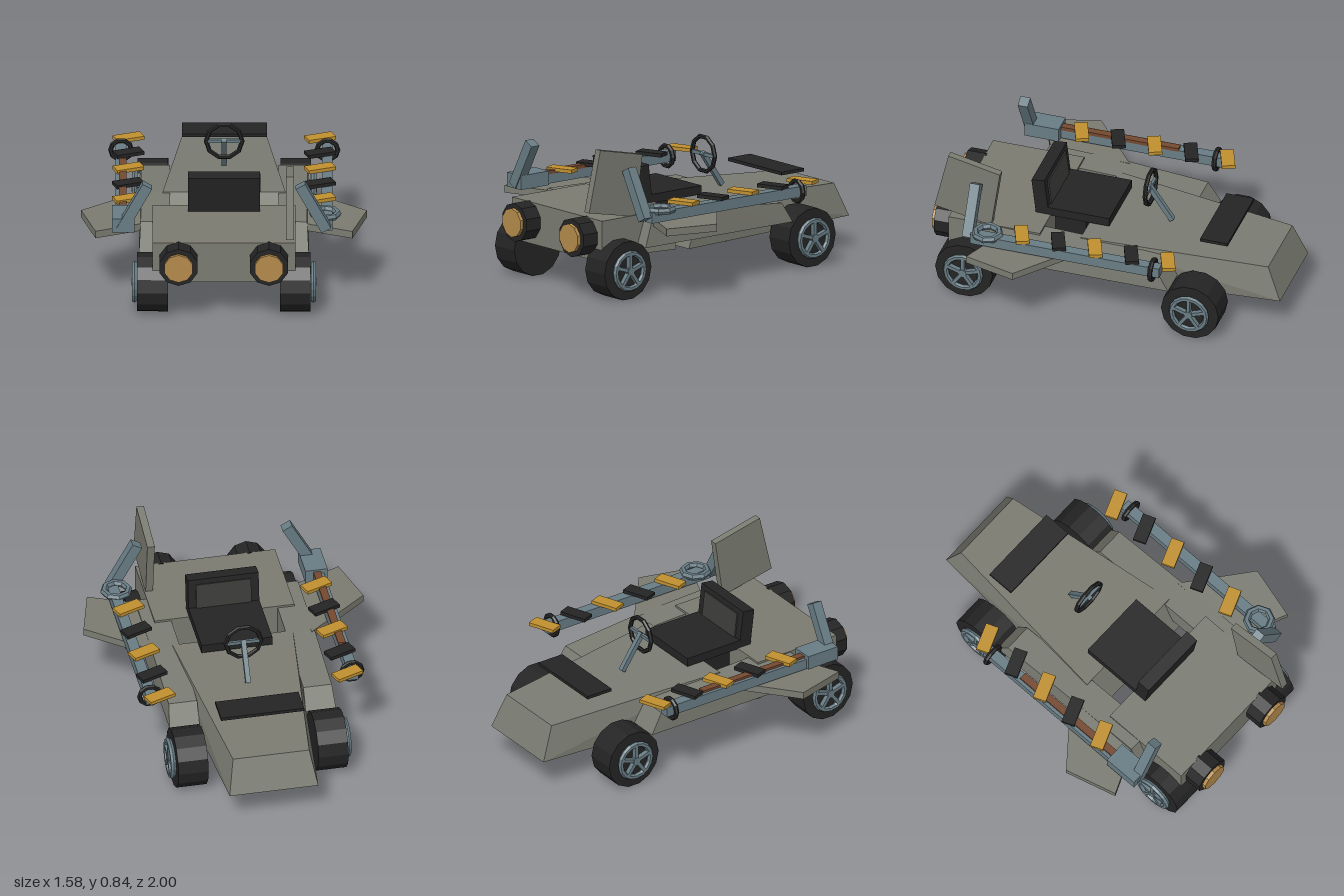
import * as THREE from 'three';
import { ConvexGeometry } from 'three/addons/geometries/ConvexGeometry.js';

const paint = (name, color) => {
  const m = new THREE.MeshStandardMaterial({ color, flatShading: true });
  m.name = name;
  return m;
};

export function createModel() {
  const grey = paint('hull grey', 0x7a7b71);
  const black = paint('black', 0x242424);
  const steel = paint('blue steel', 0x687c84);
  const gold = paint('gold', 0xc0902f);
  const lamp = paint('lamp amber', 0xb48b4b);
  const brown = paint('brown', 0x74482f);
  const panel = paint('seat panel', 0x3c3d3b);

  const model = new THREE.Group();
  model.name = 'openBuggy';

  const add = (name, geo, mat, x = 0, y = 0, z = 0, parent = model) => {
    const mesh = new THREE.Mesh(geo, mat);
    mesh.name = name;
    mesh.position.set(x, y, z);
    parent.add(mesh);
    return mesh;
  };
  const box = (name, mat, w, h, d, x, y, z, parent) =>
    add(name, new THREE.BoxGeometry(w, h, d), mat, x, y, z, parent);
  const group = (name, x, y, z, parent = model) => {
    const g = new THREE.Group();
    g.name = name;
    g.position.set(x, y, z);
    parent.add(g);
    return g;
  };
  // Faceted solid, symmetric in x, from [half width, y, z] corners
  const symmetric = (corners) => new ConvexGeometry(corners.flatMap(([x, y, z]) =>
    [new THREE.Vector3(x, y, z), new THREE.Vector3(-x, y, z)]));

  // Hull
  add('longHull', symmetric([
    [0.345, 0.19, 0.22], [0.34, 0.435, 0.13], [0.215, 0.38, -0.92], [0.25, 0.19, -1],
  ]), grey);
  box('frontBody', grey, 0.79, 0.18, 0.53, 0, 0.36, 0.615);
  add('frontUnderbody', symmetric([
    [0.39, 0.275, 0.35], [0.39, 0.215, 0.35], [0.31, 0.275, 0.88], [0.31, 0.215, 0.88],
  ]), grey);
  box('deckPlate', black, 0.47, 0.018, 0.16, 0, 0.49, -0.61);

  // Side pods and wings
  for (const s of [1, -1]) {
    const pod = [];
    for (const [z, y] of [[0.63, 0.275], [0.57, 0.445], [0.12, 0.43], [-0.35, 0.39], [-0.42, 0.275]])
      for (const x of [0.3, y > 0.3 ? 0.46 : 0.47]) pod.push(new THREE.Vector3(s * x, y, z));
    add('sidePod', new ConvexGeometry(pod), grey);

    const wing = [];
    for (const [x, z] of [[0.44, 0.1], [0.79, 0.38], [0.71, 0.675], [0.44, 0.56]])
      for (const y of [0.39, 0.432]) wing.push(new THREE.Vector3(s * x, y, z));
    add('sideWing', new ConvexGeometry(wing), grey);
  }

  // Upright fin, on one side only
  const fin = [];
  for (const [z, y] of [[0.885, 0.85], [0.585, 0.785], [0.635, 0.44], [0.965, 0.505]])
    for (const x of [0.345, 0.387]) fin.push(new THREE.Vector3(x, y, z));
  add('fin', new ConvexGeometry(fin), grey);

  // Headlights
  for (const s of [1, -1]) {
    add('lampHousing', new THREE.CylinderGeometry(0.11, 0.11, 0.11, 10).rotateX(Math.PI / 2), black, s * 0.25, 0.345, 0.925);
    add('lampLens', new THREE.CylinderGeometry(0.082, 0.082, 0.04, 10).rotateX(Math.PI / 2), lamp, s * 0.25, 0.345, 0.98);
  }

  // Wheels with five-spoke rims
  for (const s of [1, -1]) for (const z of [0.764, -0.55]) {
    const wheel = group('wheel', s * 0.395, 0.168, z);
    add('tyre', new THREE.CylinderGeometry(0.167, 0.167, 0.17, 14).rotateZ(Math.PI / 2), black, 0, 0, 0, wheel);
    const rim = group('rim', s * 0.1, 0, 0, wheel);
    add('rimRing', new THREE.TorusGeometry(0.1, 0.016, 6, 16).rotateY(Math.PI / 2), steel, 0, 0, 0, rim);
    add('hub', new THREE.CylinderGeometry(0.024, 0.024, 0.034, 8).rotateZ(Math.PI / 2), steel, 0, 0, 0, rim);
    for (let i = 0; i < 5; i++) {
      const a = i * Math.PI * 2 / 5;
      const spoke = box('spoke', steel, 0.028, 0.09, 0.02, 0, 0.052 * Math.cos(a), 0.052 * Math.sin(a), rim);
      spoke.rotation.x = a;
    }
  }

  // Seat
  box('seatBase', black, 0.24, 0.2, 0.2, 0, 0.37, 0.27);
  box('seatCushion', black, 0.4, 0.05, 0.39, 0, 0.47, 0.205);
  const back = group('seatBack', 0, 0.555, 0.412);
  back.rotation.x = 0.12;
  box('backrest', black, 0.4, 0.22, 0.075, 0, 0, 0, back);
  box('backPanel', panel, 0.31, 0.16, 0.009, 0, 0, -0.041, back);

  // Steering wheel and column
  const steering = group('steering', 0, 0.615, -0.165);
  add('steeringRing', new THREE.TorusGeometry(0.1, 0.013, 6, 10), black, 0, 0, 0, steering);
  box('crossBar', steel, 0.19, 0.02, 0.015, 0, 0, 0, steering);
  const column = box('steeringColumn', steel, 0.028, 0.24, 0.028, 0, -0.09, -0.06, steering);
  column.rotation.x = 0.6;

  // Side rails with slanted slats
  for (const s of [1, -1]) {
    const rail = group('sideRail', s * 0.57, 0, 0);
    box('railBeam', steel, 0.06, 0.06, 1.1, 0, 0.475, 0.14, rail);
    add('railRing', new THREE.TorusGeometry(0.058, 0.014, 6, 10), black, 0, 0.475, -0.365, rail);
    for (let i = 0; i < 5; i++) {
      const slat = box('slat', i % 2 ? black : gold, 0.16, 0.02, 0.075, -s * 0.04, 0.517, -0.44 + i * 0.2125, rail);
      slat.rotation.y = 0.375;
    }
    const post = box('leaningPost', steel, 0.06, 0.3, 0.057, -s * 0.075, 0.595, 0.71, rail);
    post.rotation.z = s * 0.5;
  }
  box('railStrip', brown, 0.042, 0.02, 0.7, -0.56, 0.508, 0.2);
  box('railBlock', steel, 0.125, 0.08, 0.2, -0.557, 0.49, 0.632);
  add('railHoop', new THREE.TorusGeometry(0.07, 0.02, 6, 8).rotateX(Math.PI / 2), steel, 0.56, 0.508, 0.6);

  return model;
}
